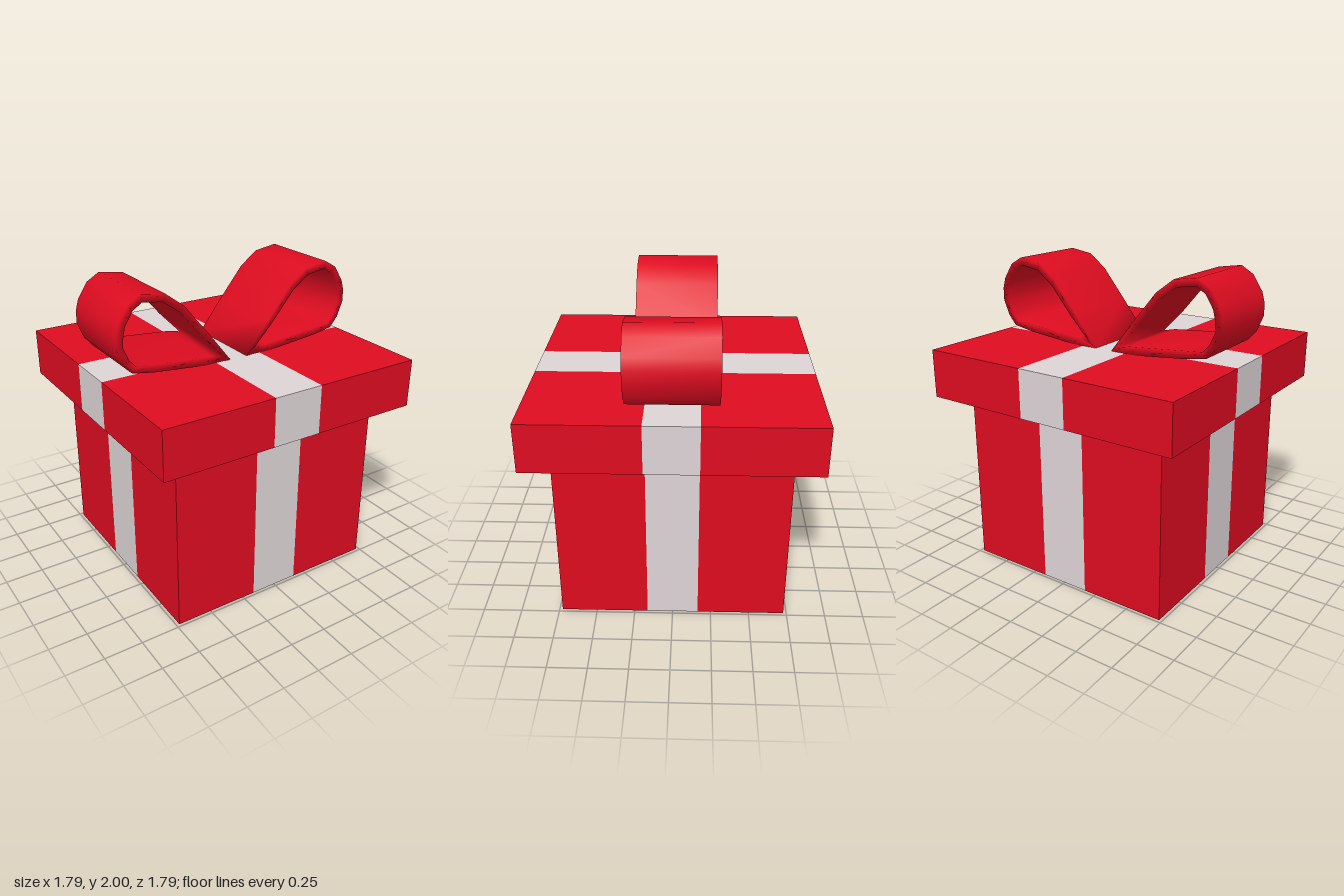
import * as THREE from 'three';

const RED = new THREE.MeshStandardMaterial({ color: 0xdd0c20 });
const RIBBON = new THREE.MeshStandardMaterial({ color: 0xddd4d6 });
const STRIPE = 0.165; // half width of the ribbon

// Square box whose 3 x 3 faces are split into flush paper and ribbon meshes
function wrappedBox(name, half, y0, y1) {
  const box = new THREE.BoxGeometry(2 * half, y1 - y0, 2 * half, 3, 1, 3).toNonIndexed();
  box.translate(0, (y0 + y1) / 2, 0);
  const p = box.attributes.position;
  const snap = v => (Math.abs(v) < half * 0.9 ? Math.sign(v) * STRIPE : v);
  for (let i = 0; i < p.count; i++) p.setXYZ(i, snap(p.getX(i)), p.getY(i), snap(p.getZ(i)));

  const paper = [], ribbon = [];
  for (let i = 0; i < p.count; i += 3) {
    const cx = (p.getX(i) + p.getX(i + 1) + p.getX(i + 2)) / 3;
    const cz = (p.getZ(i) + p.getZ(i + 1) + p.getZ(i + 2)) / 3;
    const onRibbon = Math.min(Math.abs(cx), Math.abs(cz)) < STRIPE;
    (onRibbon ? ribbon : paper).push(i, i + 1, i + 2);
  }
  const group = new THREE.Group();
  group.name = name;
  for (const [part, index, material] of [['Paper', paper, RED], ['Ribbon', ribbon, RIBBON]]) {
    const mesh = new THREE.Mesh(box.clone().setIndex(index), material);
    mesh.name = name + part;
    group.add(mesh);
  }
  return group;
}

// Bow loop stations: outer x, outer y, inner x, inner y
const LOOP = [
  [0.06, 1.475, 0.11, 1.505], [0.225, 1.685, 0.26, 1.66], [0.39, 1.885, 0.415, 1.845],
  [0.51, 1.975, 0.53, 1.93], [0.67, 2.0, 0.665, 1.95], [0.755, 1.95, 0.725, 1.91],
  [0.82, 1.85, 0.775, 1.83], [0.84, 1.78, 0.79, 1.77], [0.84, 1.7, 0.795, 1.7],
  [0.80, 1.6, 0.76, 1.62], [0.745, 1.535, 0.715, 1.57], [0.6, 1.51, 0.6, 1.56],
  [0.25, 1.475, 0.2, 1.525],
];

// Thick closed band with shared vertices for soft shading
function bowLoop(name, side) {
  const z = 0.275, pos = [], index = [], n = LOOP.length;
  for (const [ox, oy, ix, iy] of LOOP) {
    pos.push(side * ox, oy, z, side * ox, oy, -z, side * ix, iy, -z, side * ix, iy, z);
  }
  for (let i = 0; i < n; i++) {
    for (let j = 0; j < 4; j++) {
      const k = (j + 1) % 4, next = (i + 1) % n;
      const a = i * 4 + j, b = i * 4 + k, c = next * 4 + j, d = next * 4 + k;
      if (side > 0) index.push(a, c, b, c, d, b);
      else index.push(a, b, c, c, b, d);
    }
  }
  const g = new THREE.BufferGeometry();
  g.setAttribute('position', new THREE.Float32BufferAttribute(pos, 3));
  g.setIndex(index);
  g.computeVertexNormals();
  const mesh = new THREE.Mesh(g, RED);
  mesh.name = name;
  return mesh;
}

export function createModel() {
  const model = new THREE.Group();
  model.name = 'giftBox';
  model.add(
    wrappedBox('body', 0.73, 0, 1.16),
    wrappedBox('lid', 0.895, 1.16, 1.475),
    bowLoop('leftBowLoop', 1),
    bowLoop('rightBowLoop', -1),
  );
  return model;
}
